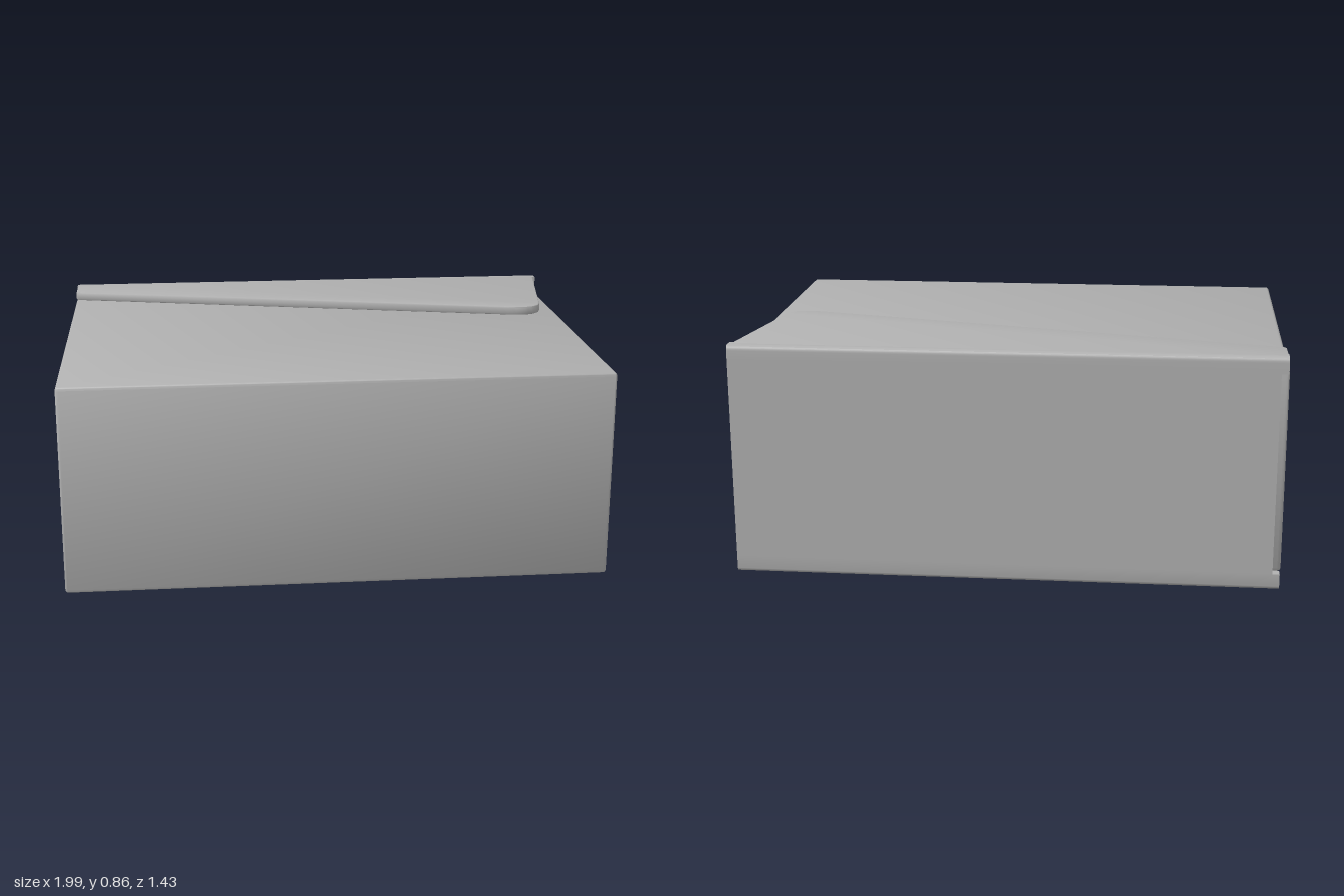
import * as THREE from 'three';
import { toCreasedNormals } from 'three/addons/utils/BufferGeometryUtils.js';
import { RoundedBoxGeometry } from 'three/addons/geometries/RoundedBoxGeometry.js';

const HEIGHT = 0.86, THICK = 0.035;
const BACK = -0.715, RIGHT = -0.988, LEFT = 0.995;

export function createModel() {
  const model = new THREE.Group();
  const grey = new THREE.MeshStandardMaterial({ color: 0xb0b0b0 });
  grey.name = 'plain grey';

  const add = (geometry, name, parent = model) => {
    const mesh = new THREE.Mesh(toCreasedNormals(geometry, 0.6), grey);
    mesh.name = name;
    parent.add(mesh);
    return mesh;
  };

  // Carton, very slightly narrower toward the back
  const carton = new RoundedBoxGeometry(1.985, 0.77, 1.392, 3, 0.012);
  const p = carton.attributes.position;
  for (let i = 0; i < p.count; i++) {
    const t = 0.5 - p.getZ(i) / 1.392;
    p.setY(i, p.getY(i) * (1 - 0.028 * t));
    p.setX(i, p.getX(i) * (1 - 0.004 * t));
  }
  carton.translate(-0.005, 0.43, 0.02);
  add(carton, 'carton');

  const sleeve = new THREE.Group();
  sleeve.name = 'sleeve';
  model.add(sleeve);

  // Back panel, set in a little at its right end
  const panel = new THREE.BoxGeometry(LEFT + 0.962, HEIGHT - 0.12, THICK);
  panel.translate((LEFT - 0.962) / 2, HEIGHT / 2, BACK + THICK / 2);
  add(panel, 'backPanel', sleeve);

  // Slanted flap outline (x, z) with a rounded tip
  const outline = new THREE.Shape();
  outline.moveTo(RIGHT, -0.69);
  outline.lineTo(RIGHT, -0.568);
  outline.quadraticCurveTo(RIGHT, -0.558, -0.97, -0.553);
  outline.lineTo(0.77, -0.131);
  outline.bezierCurveTo(0.81, -0.122, 0.84, -0.122, 0.87, -0.136);
  outline.quadraticCurveTo(0.902, -0.155, 0.907, -0.19);
  outline.lineTo(0.99, -0.69);
  outline.closePath();

  for (const [side, edge, dir] of [['bottom', 0, 1], ['top', HEIGHT, -1]]) {
    const bevel = 0.007;
    const flap = new THREE.ExtrudeGeometry(outline, {
      depth: THICK - 2 * bevel, bevelThickness: bevel, bevelSize: bevel,
      bevelOffset: -bevel, bevelSegments: 2, curveSegments: 8,
    });
    flap.rotateX(Math.PI / 2);
    flap.translate(0, edge + dir * THICK / 2 + THICK / 2 - bevel, 0);
    add(flap, side + 'Flap', sleeve);

    // Rounded fold joining the flap to the back panel, profile in (z, y)
    const y = (v) => edge + dir * v;
    const inner = BACK + THICK, r = 0.02;
    const fold = new THREE.Shape();
    fold.moveTo(-0.665, y(0));
    fold.lineTo(BACK + r, y(0));
    fold.quadraticCurveTo(BACK, y(0), BACK, y(r));
    fold.lineTo(BACK, y(0.06));
    fold.lineTo(inner, y(0.06));
    fold.lineTo(inner, y(THICK));
    fold.lineTo(-0.665, y(THICK));
    fold.closePath();
    const strip = new THREE.ExtrudeGeometry(fold, {
      depth: LEFT - RIGHT, bevelEnabled: false, curveSegments: 6,
    });
    strip.rotateY(-Math.PI / 2);
    strip.translate(LEFT, 0, 0);
    add(strip, side + 'Fold', sleeve);
  }
  return model;
}
